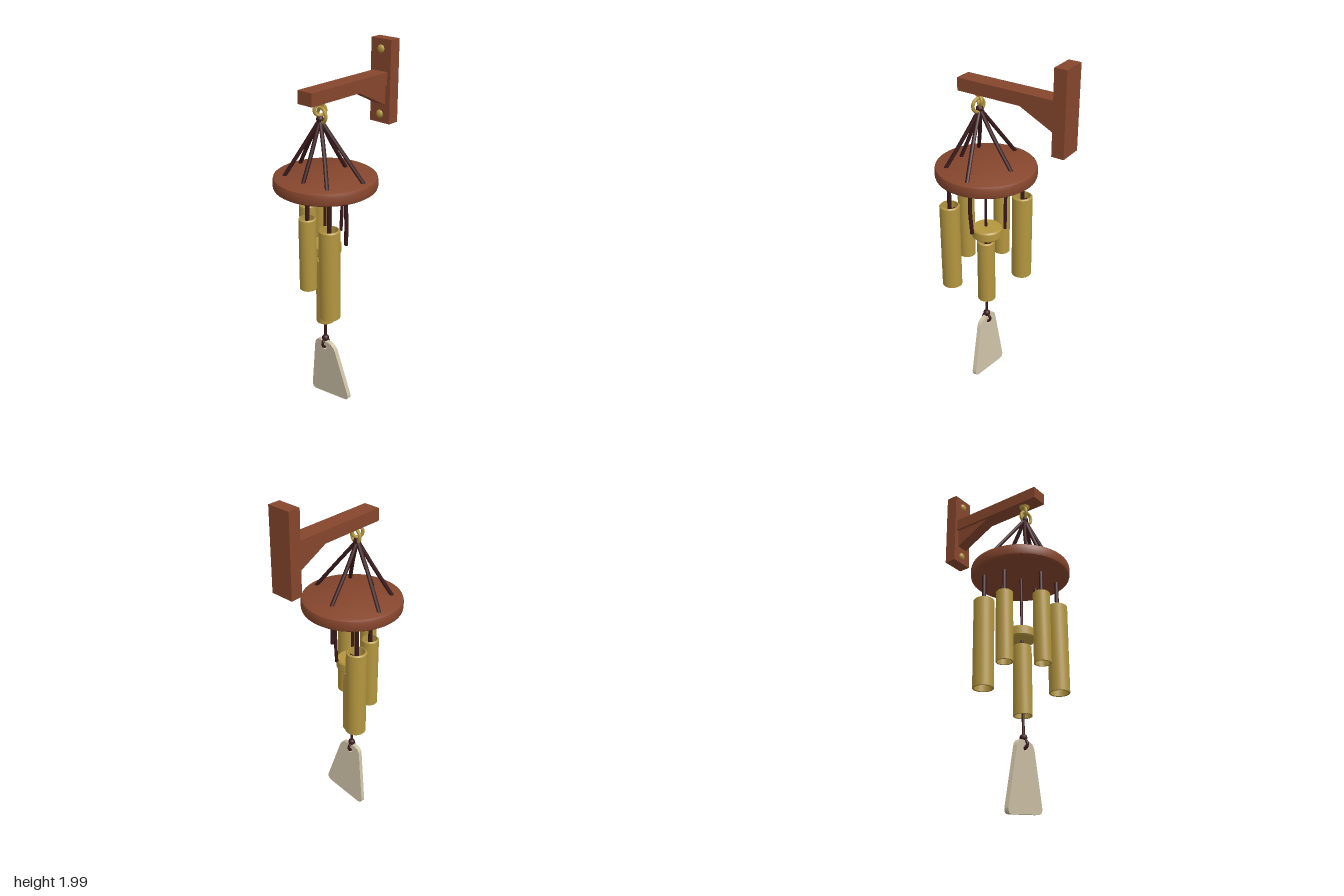
import * as THREE from 'three';
import { toCreasedNormals } from 'three/addons/utils/BufferGeometryUtils.js';

const material = (name, color) => {
  const m = new THREE.MeshStandardMaterial({ color });
  m.name = name;
  return m;
};

export function createModel() {
  const wood = material('wood', 0x86462d);
  const brass = material('brass', 0xb4963f);
  const cord = material('cord', 0x3a191b);
  const shell = material('sail cream', 0xcfc2a7);

  const model = new THREE.Group();
  model.name = 'windChime';

  const add = (name, geometry, mat, x = 0, y = 0, z = 0) => {
    const mesh = new THREE.Mesh(geometry, mat);
    mesh.name = name;
    mesh.position.set(x, y, z);
    model.add(mesh);
    return mesh;
  };
  const lathe = (points, segments) => toCreasedNormals(
    new THREE.LatheGeometry(points.map(p => new THREE.Vector2(...p)), segments), 0.6);
  const string = (name, points, radius) => add(name, new THREE.TubeGeometry(
    new THREE.CatmullRomCurve3(points.map(p => new THREE.Vector3(...p))), 12, radius, 8), cord);

  // Closed polygon with rounded corners: each corner is [x, y, radius]
  const roundedShape = corners => {
    const shape = new THREE.Shape();
    const n = corners.length;
    corners.forEach(([x, y, r], i) => {
      const p = new THREE.Vector2(x, y);
      const towards = c => new THREE.Vector2(c[0], c[1]).sub(p).setLength(r).add(p);
      const a = towards(corners[(i + n - 1) % n]);
      const b = towards(corners[(i + 1) % n]);
      if (i === 0) shape.moveTo(a.x, a.y); else shape.lineTo(a.x, a.y);
      shape.quadraticCurveTo(x, y, b.x, b.y);
    });
    shape.closePath();
    return shape;
  };

  // Wall bracket
  add('wallPlate', new THREE.BoxGeometry(0.132, 0.445, 0.068), wood, 0, 1.7775, -0.35);
  add('arm', new THREE.BoxGeometry(0.095, 0.068, 0.567), wood, -0.002, 1.798, -0.035);
  const braceShape = new THREE.Shape([[0.32, 1.655], [0.32, 1.77], [0.09, 1.77]]
    .map(p => new THREE.Vector2(...p)));
  const brace = new THREE.ExtrudeGeometry(braceShape, { depth: 0.07, bevelEnabled: false });
  brace.translate(0, 0, -0.035).rotateY(Math.PI / 2);
  add('brace', brace, wood);
  for (const y of [1.948, 1.602]) {
    const head = new THREE.SphereGeometry(0.022, 16, 8, 0, Math.PI * 2, 0, Math.PI / 2);
    head.scale(1, 0.65, 1).rotateX(Math.PI / 2);
    add('screwHead', head, brass, 0, y, -0.317);
  }

  // Hook and hanging ring under the arm
  const hookZ = 0.145;
  add('hookCollar', new THREE.CylinderGeometry(0.03, 0.024, 0.016, 16), brass, 0, 1.757, hookZ);
  const eye = add('hookEye', new THREE.TorusGeometry(0.028, 0.009, 10, 24), brass, 0, 1.722, hookZ);
  eye.rotation.y = 0.9;
  const ring = add('hangingRing', new THREE.TorusGeometry(0.036, 0.009, 10, 24), brass, 0.012, 1.698, hookZ);
  ring.rotation.y = -0.25;

  // Top disc with softened rims
  const cz = 0.11;
  add('topDisc', lathe([[0, 1.305], [0.258, 1.305], [0.268, 1.312], [0.271, 1.322],
    [0.271, 1.355], [0.267, 1.368], [0.255, 1.375], [0, 1.375]], 48), wood, 0, 0, cz);

  // Suspension cords fanning from the ring to the disc
  const apex = [0, 1.675, hookZ];
  for (const [x, z] of [[-0.225, 0.07], [0.23, 0.07], [-0.15, 0.262], [0.155, 0.262], [0, 0.275], [0, -0.05]]) {
    const mid = [x * 0.46, 1.535, hookZ + (z - hookZ) * 0.42];
    string('suspensionCord', [apex, mid, [x, 1.365, z]], 0.0105);
  }
  add('cordKnot', new THREE.SphereGeometry(0.02, 12, 8), cord, ...apex);

  // Hollow chime tube
  const chime = (name, x, z, bottom, top, r) => {
    const inner = r * 0.82;
    const b = 0.006;
    add(name, lathe([[r, bottom], [r, top - b], [r - b, top], [inner, top],
      [inner, bottom], [r, bottom]], 24), brass, x, 0, z);
    const bar = new THREE.CylinderGeometry(0.006, 0.006, inner * 2, 8);
    bar.rotateZ(Math.PI / 2);
    add('tubePin', bar, cord, x, top - 0.04, z);
  };

  // Four chimes on their cords
  for (const [x, z, bottom, top, r] of [
    [0.152, 0.245, 0.655, 1.158, 0.055],
    [-0.153, -0.02, 0.65, 1.155, 0.056],
    [0, 0.247, 0.772, 1.178, 0.046],
    [-0.137, 0.105, 0.77, 1.172, 0.046],
  ]) {
    chime('chimeTube', x, z, bottom, top, r);
    string('chimeCord', [[x, 1.31, z], [x, 1.2, z], [x, top - 0.045, z]], 0.0115);
  }

  // Loose cords
  string('looseCord', [[0.14, 1.31, 0.112], [0.148, 1.17, 0.114], [0.142, 1.02, 0.108]], 0.0105);
  string('looseCord', [[0, 1.31, -0.015], [0.004, 1.17, -0.013], [0, 1.02, -0.008]], 0.009);

  // Centre cord, striker and lowest tube
  string('centreCord', [[0, 1.31, 0.115], [0, 0.85, 0.118], [0, 0.38, 0.12]], 0.0075);
  add('striker', lathe([[0, 0.935], [0.076, 0.935], [0.083, 0.943], [0.083, 0.984],
    [0.076, 0.993], [0, 0.993]], 32), brass, 0, 0, cz);
  chime('lowerTube', 0, 0.118, 0.515, 0.9, 0.05);

  // Wind sail with its knot and loop
  const sailShape = roundedShape([[-0.064, 0.385, 0.045], [-0.12, 0.002, 0.04],
    [0.172, 0.046, 0.04], [0.068, 0.385, 0.045]]);
  const hole = new THREE.Path();
  hole.absarc(0, 0.345, 0.016, 0, Math.PI * 2, true);
  sailShape.holes.push(hole);
  const sailGeometry = new THREE.ExtrudeGeometry(sailShape, { depth: 0.024, bevelEnabled: false, curveSegments: 10 });
  sailGeometry.translate(0, -0.2, -0.012);
  const sail = add('windSail', toCreasedNormals(sailGeometry, 0.6), shell, 0, 0.2, 0.11);
  sail.rotation.x = 0.065;
  add('sailKnot', new THREE.SphereGeometry(0.02, 12, 8), cord, 0, 0.4, 0.12);
  const loop = add('sailLoop', new THREE.TorusGeometry(0.024, 0.008, 8, 20), cord, 0, 0.366, 0.12);
  loop.rotation.y = Math.PI / 2;

  return model;
}
